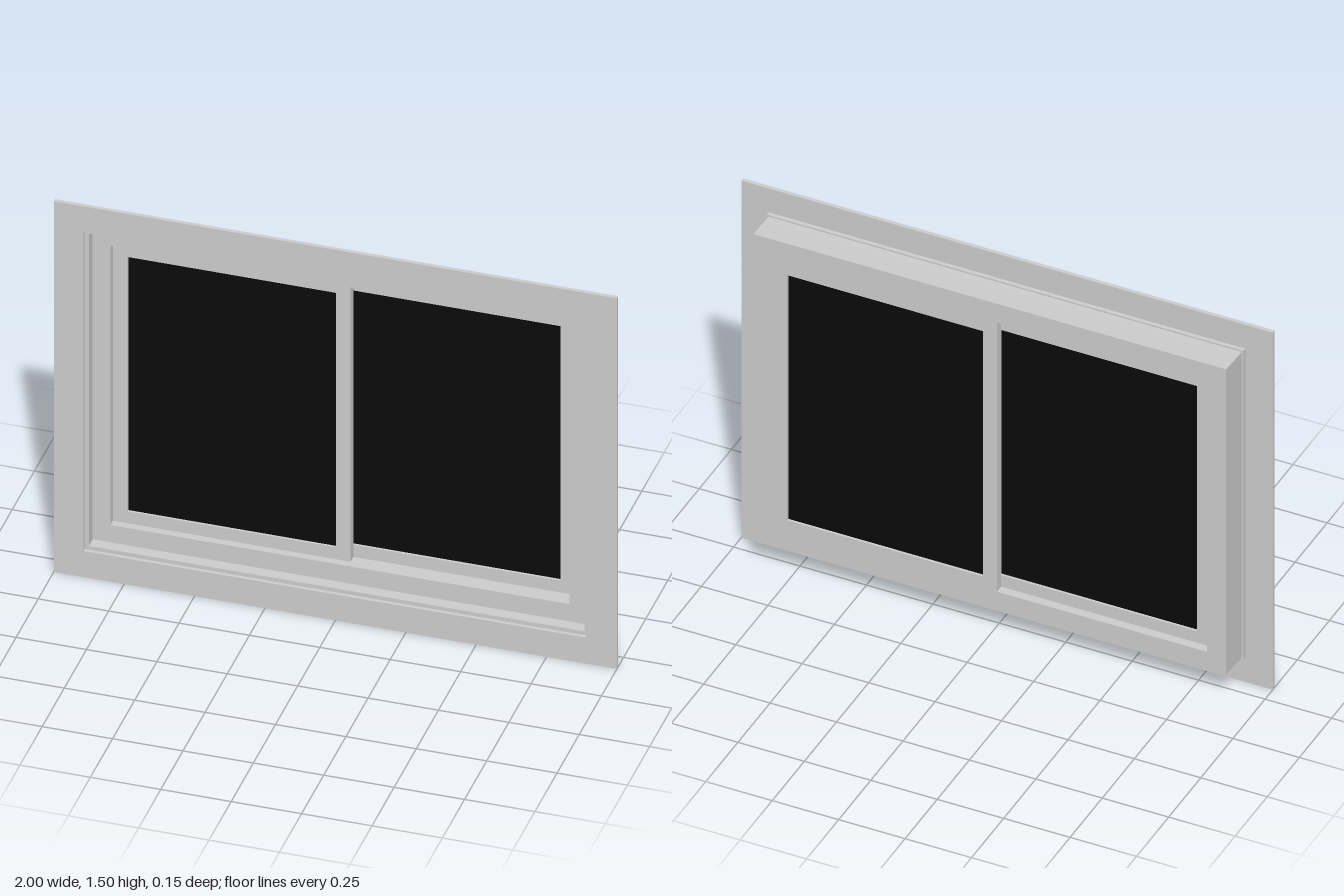
import * as THREE from 'three';

const grey = new THREE.MeshStandardMaterial({ color: 0xcccccc });
const black = new THREE.MeshStandardMaterial({ color: 0x0a0a0a });

// Rectangular ring: outer and inner are [x0, y0, x1, y1], spanning z0..z1
function ring(name, outer, inner, z0, z1) {
  const corners = ([x0, y0, x1, y1]) => [[x0, y0], [x1, y0], [x1, y1], [x0, y1]].map(p => new THREE.Vector2(...p));
  const shape = new THREE.Shape(corners(outer));
  shape.holes.push(new THREE.Path(corners(inner).reverse()));
  const geo = new THREE.ExtrudeGeometry(shape, { depth: z1 - z0, bevelEnabled: false });
  geo.translate(0, 0, z0);
  const mesh = new THREE.Mesh(geo, grey);
  mesh.name = name;
  return mesh;
}

// Sliding sash: a frame with a dark pane inside it
function sash(name, outer, inner, z0, z1) {
  const group = new THREE.Group();
  group.name = name;
  const [x0, y0, x1, y1] = inner;
  const pane = new THREE.Mesh(new THREE.BoxGeometry(x1 - x0, y1 - y0, 0.014), black);
  pane.position.set((x0 + x1) / 2, (y0 + y1) / 2, (z0 + z1) / 2);
  pane.name = 'glassPane';
  group.add(ring('sashFrame', outer, inner, z0, z1), pane);
  return group;
}

export function createModel() {
  const model = new THREE.Group();
  model.name = 'slidingWindow';

  // Flat trim around the opening
  model.add(ring('trim', [-1, 0, 1, 1.5], [-0.895, 0.105, 0.89, 1.398], 0.06, 0.075));

  // Thin lip joining trim and frame
  model.add(ring('frameLip', [-0.897, 0.103, 0.897, 1.4], [-0.88, 0.12, 0.88, 1.385], 0.045, 0.061));

  // Shallow reveal in front of the frame face
  model.add(ring('reveal', [-0.89, 0.11, 0.89, 1.394], [-0.88, 0.12, 0.88, 1.385], 0.018, 0.045));

  // Deep main frame, its outer top and bottom sloping slightly upward to the back
  const frame = ring('mainFrame', [-0.89, 0.113, 0.89, 1.395], [-0.817, 0.19, 0.813, 1.32], -0.075, 0.018);
  const pos = frame.geometry.attributes.position;
  for (let i = 0; i < pos.count; i++) {
    const y = pos.getY(i);
    if (pos.getZ(i) < 0 && (y < 0.15 || y > 1.35)) pos.setY(i, y + 0.005);
  }
  frame.geometry.computeVertexNormals();
  model.add(frame);

  // Two overlapping sashes: one in the front track, one flush with the back
  model.add(sash('frontSash', [-0.817, 0.19, 0.027, 1.32], [-0.765, 0.238, -0.025, 1.268], -0.042, -0.01));
  model.add(sash('backSash', [-0.027, 0.19, 0.813, 1.32], [0.025, 0.238, 0.762, 1.268], -0.075, -0.042));

  return model;
}
